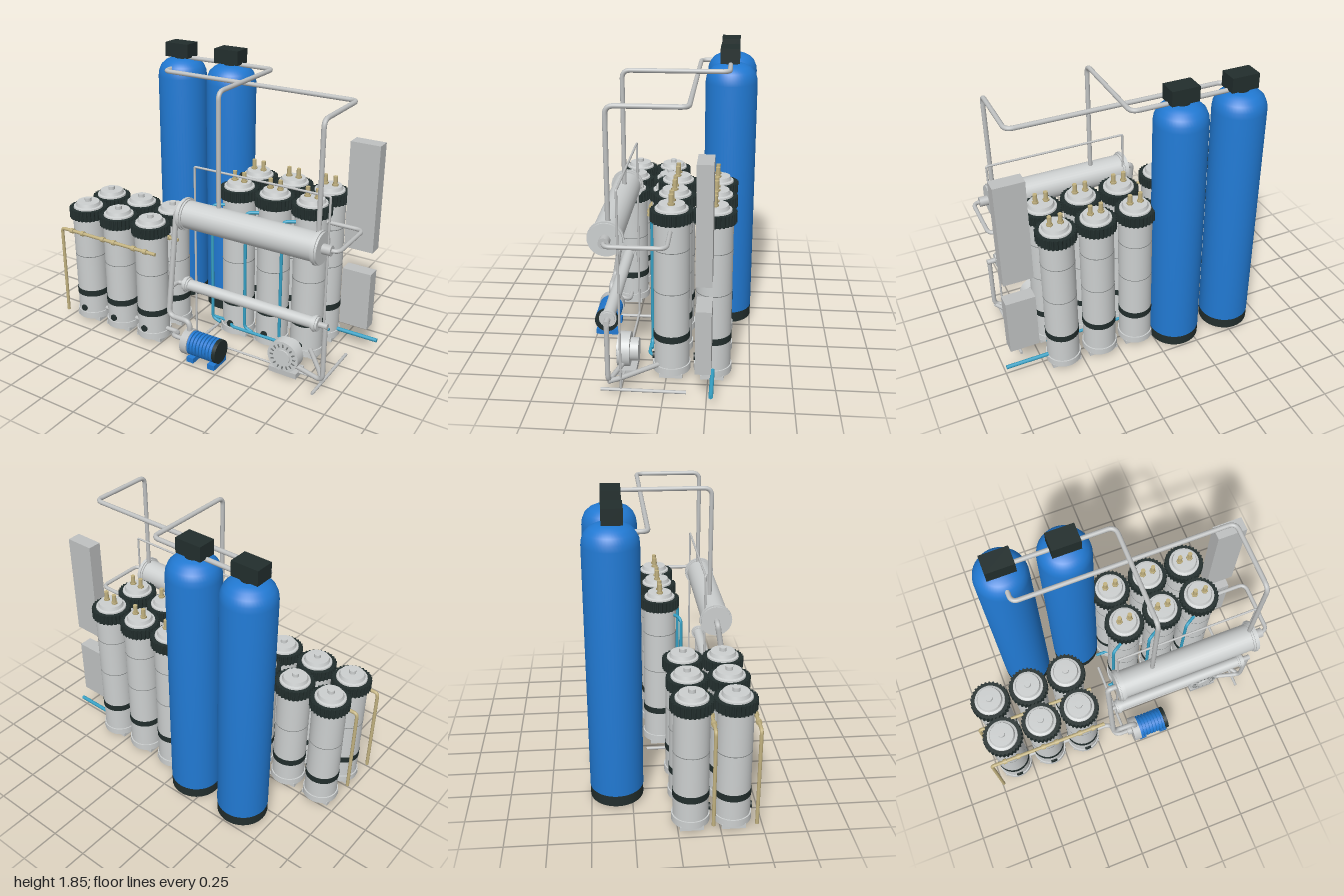
import * as THREE from 'three';
import { mergeGeometries, toCreasedNormals } from 'three/addons/utils/BufferGeometryUtils.js';

const mat = (name, color) => new THREE.MeshStandardMaterial({ name, color });
const V = (p) => new THREE.Vector3(...p);

export function createModel() {
  const M = {
    blue: mat('tank blue', 0x2179d2),
    dark: mat('dark plastic', 0x222e2d),
    shell: mat('vessel light grey', 0xcccfcf),
    steel: mat('steel grey', 0xbfc1c1),
    seam: mat('seam grey', 0x7c8080),
    tan: mat('tan pipe', 0xc2b280),
    teal: mat('teal pipe', 0x35a0c4),
  };
  const root = new THREE.Group();
  root.name = 'filtrationPlant';

  const add = (parent, name, geo, material, x = 0, y = 0, z = 0) => {
    const m = new THREE.Mesh(geo, material);
    m.name = name;
    m.position.set(x, y, z);
    parent.add(m);
    return m;
  };
  const group = (name, x = 0, y = 0, z = 0) => {
    const g = new THREE.Group();
    g.name = name;
    g.position.set(x, y, z);
    root.add(g);
    return g;
  };
  // Cylinder from y0 to y1
  const cyl = (parent, name, r, y0, y1, material, x = 0, z = 0, seg = 32) =>
    add(parent, name, new THREE.CylinderGeometry(r, r, y1 - y0, seg), material, x, (y0 + y1) / 2, z);
  const box = (parent, name, x0, x1, y0, y1, z0, z1, material) =>
    add(parent, name, new THREE.BoxGeometry(x1 - x0, y1 - y0, z1 - z0), material,
      (x0 + x1) / 2, (y0 + y1) / 2, (z0 + z1) / 2);
  const lathe = (pts, seg = 40) =>
    toCreasedNormals(new THREE.LatheGeometry(pts.map((p) => new THREE.Vector2(...p)), seg), 0.6);
  // Cylinder lying along x
  const cylX = (parent, name, r, x0, x1, y, z, material) => {
    const m = add(parent, name, new THREE.CylinderGeometry(r, r, x1 - x0, 32), material, (x0 + x1) / 2, y, z);
    m.rotation.z = -Math.PI / 2;
    return m;
  };
  // Round pipe through corner points, with rounded bends and closed ends
  const pipe = (name, material, r, points, bend = 0.05) => {
    const p = points.map(V), n = p.length - 1, parts = [];
    let from = p[0];
    for (let i = 1; i <= n; i++) {
      let to = p[i], next = p[i];
      if (i < n) {
        const b = Math.min(bend, p[i].distanceTo(p[i - 1]) * 0.45, p[i].distanceTo(p[i + 1]) * 0.45);
        to = p[i].clone().lerp(p[i - 1], b / p[i].distanceTo(p[i - 1]));
        next = p[i].clone().lerp(p[i + 1], b / p[i].distanceTo(p[i + 1]));
        parts.push(new THREE.TubeGeometry(new THREE.QuadraticBezierCurve3(to, p[i], next), 8, r, 12));
      }
      parts.push(new THREE.TubeGeometry(new THREE.LineCurve3(from, to), 1, r, 12));
      from = next;
    }
    for (const [end, inner] of [[p[0], p[1]], [p[n], p[n - 1]]]) {
      const q = new THREE.Quaternion().setFromUnitVectors(
        new THREE.Vector3(0, 0, 1), end.clone().sub(inner).normalize());
      parts.push(new THREE.CircleGeometry(r, 12).applyQuaternion(q).translate(end.x, end.y, end.z));
    }
    return add(root, name, mergeGeometries(parts), material);
  };

  // Tall pressure tanks
  const tankGeo = lathe([[0, 0.09], [0.163, 0.09], [0.163, 1.63], [0.158, 1.665], [0.143, 1.70],
    [0.115, 1.727], [0.08, 1.743], [0, 1.75]], 48);
  for (const x of [-0.535, -0.152]) {
    const g = group('pressureTank', x, 0, -0.342);
    add(g, 'tankShell', tankGeo, M.blue);
    cyl(g, 'tankBase', 0.162, 0.02, 0.1, M.dark, 0, 0, 48);
    cyl(g, 'tankNeck', 0.05, 1.73, 1.77, M.dark);
    box(g, 'valveHead', -0.088, 0.088, 1.757, 1.85, -0.05, 0.07, M.dark);
  }

  // Knurled collar shared by all vessels
  const collarShape = new THREE.Shape();
  const teeth = 30;
  for (let i = 0; i < teeth * 4; i++) {
    const a = (i / (teeth * 4)) * Math.PI * 2, r = i % 4 < 2 ? 0.126 : 0.118;
    collarShape[i ? 'lineTo' : 'moveTo'](r * Math.cos(a), r * Math.sin(a));
  }
  const collarGeo = new THREE.ExtrudeGeometry(collarShape, { depth: 0.066, bevelEnabled: false })
    .rotateX(-Math.PI / 2);

  const vessel = (name, x, z, collarY, bandY, seams, pins) => {
    const g = group(name, x, 0, z);
    cyl(g, 'body', 0.106, 0.07, collarY + 0.01, M.shell);
    cyl(g, 'baseRing', 0.114, 0.035, 0.08, M.shell);
    for (const s of [-1, 1]) {
      box(g, 'foot', s * 0.075 - 0.022, s * 0.075 + 0.022, 0.012, 0.04, -0.07, 0.07, M.shell);
    }
    cyl(g, 'band', 0.109, bandY, bandY + 0.042, M.dark);
    for (const y of seams) cyl(g, 'seam', 0.1067, y, y + 0.004, M.seam);
    add(g, 'collar', collarGeo, M.dark, 0, collarY, 0);
    const t = collarY + 0.064;
    add(g, 'lid', lathe([[0.098, t], [0.096, t + 0.012], [0.082, t + 0.016], [0.075, t + 0.038], [0, t + 0.04]], 32), M.shell);
    const port = cyl(g, 'drainPort', 0.022, -0.01, 0.01, M.dark, 0, 0.106, 16);
    port.position.y = 0.11;
    port.rotation.x = Math.PI / 2;
    if (pins) {
      for (const s of [-1, 1]) {
        cyl(g, 'lidNut', 0.021, t + 0.035, t + 0.05, M.tan, s * 0.034, 0, 6);
        cyl(g, 'lidPin', 0.014, t + 0.04, t + 0.102, M.tan, s * 0.034, 0, 12);
      }
    } else cyl(g, 'lidKnob', 0.022, t + 0.035, t + 0.062, M.shell, 0, 0, 16);
  };
  for (const z of [0.08, 0.326]) {
    for (const x of [-0.857, -0.6, -0.343]) vessel('shortVessel', x, z, 0.768, 0.204, [0.5], false);
  }
  for (const z of [-0.275, -0.028]) {
    for (const x of [0.103, 0.36, 0.615]) vessel('tallVessel', x, z, 0.99, 0.248, [0.56, 0.82], true);
  }

  // Horizontal membrane housings
  const housing = (name, y, r, flange) => {
    const g = group(name);
    cylX(g, 'tube', r, -0.07, 0.84, y, 0.318, M.shell);
    for (const x of [-0.09, 0.815]) {
      cylX(g, 'flange', flange, x + 0.012, x + 0.028, y, 0.318, M.shell);
      cylX(g, 'flangeCollar', (r + flange) / 2, x, x + 0.04, y, 0.318, M.shell);
    }
    cylX(g, 'endNut', flange * 0.25 + 0.005, 0.85, 0.91, y, 0.318, M.steel);
  };
  housing('largeHousing', 0.955, 0.088, 0.104);
  housing('smallHousing', 0.465, 0.036, 0.05);

  // Thin support frame
  const frameX = [-0.05, 0.855];
  for (const x of frameX) {
    pipe('frameFoot', M.steel, 0.01, [[x, 0.011, -0.13], [x, 0.011, 0.37]]);
  }
  pipe('frameHoop', M.steel, 0.007, [[-0.05, 0.01, 0.25], [-0.05, 1.245, 0.25], [0.855, 1.245, 0.25], [0.855, 0.01, 0.25]], 0.01);
  pipe('frameLowerBar', M.steel, 0.007, [[-0.05, 0.04, 0.25], [0.855, 0.04, 0.25]]);

  // Control cabinets
  box(root, 'upperCabinet', 0.77, 0.96, 0.74, 1.43, -0.275, -0.185, M.steel);
  box(root, 'lowerCabinet', 0.77, 0.96, 0.2, 0.59, -0.275, -0.185, M.steel);

  // Blue ribbed pump
  const pump = group('ribbedPump', 0, 0.128, 0.428);
  const ribs = [[0, 0.04]];
  for (let i = 0; i < 8; i++) {
    const y = 0.04 + i * 0.024;
    ribs.push([0.078, y], [0.078, y + 0.015], [0.066, y + 0.016], [0.066, y + 0.023]);
  }
  add(pump, 'motor', lathe(ribs, 32), M.blue).rotation.z = -Math.PI / 2;
  cylX(pump, 'motorEnd', 0.077, 0.225, 0.25, 0, 0, M.dark);
  cylX(pump, 'pumpHead', 0.085, -0.01, 0.04, 0, 0, M.steel);
  cylX(pump, 'pumpInlet', 0.03, -0.04, 0, 0, 0, M.steel);
  for (const x of [0.035, 0.19]) box(pump, 'pumpFoot', x, x + 0.05, -0.105, -0.07, -0.075, 0.07, M.blue);

  // Round vented blower
  const blower = group('blower', 0.612, 0.143, 0.24);
  const faceCyl = (name, r, z0, z1, material, x = 0, y = 0, seg = 32) => {
    const m = cyl(blower, name, r, 0, z1 - z0, material, x, 0, seg);
    m.position.set(x, y, (z0 + z1) / 2);
    m.rotation.x = Math.PI / 2;
  };
  faceCyl('blowerBody', 0.105, -0.02, 0.055, M.shell);
  faceCyl('blowerMotor', 0.07, -0.07, -0.02, M.shell);
  faceCyl('blowerHub', 0.05, 0.055, 0.065, M.shell);
  for (let i = 0; i < 16; i++) {
    const a = (i / 16) * Math.PI * 2;
    const slot = add(blower, 'vent', new THREE.BoxGeometry(0.022, 0.009, 0.004), M.seam,
      0.077 * Math.cos(a), 0.077 * Math.sin(a), 0.056);
    slot.rotation.z = a;
  }
  box(blower, 'blowerFoot', -0.095, 0.095, -0.13, -0.095, -0.06, 0.055, M.steel);

  // Overhead pipes from the tanks
  pipe('overheadPipe', M.steel, 0.0145, [[-0.5, 1.752, -0.335], [0.157, 1.752, -0.335], [0.157, 1.752, 0.305], [0.157, 1.02, 0.305]]);
  pipe('overheadPipe', M.steel, 0.0145, [[-0.535, 1.695, -0.23], [-0.535, 1.695, -0.135], [0.818, 1.695, -0.135],
    [0.818, 1.695, 0.305], [0.818, 1.02, 0.305]]);

  // Process pipes around the pumps and housings
  pipe('feedPipe', M.steel, 0.018, [[-0.08, 0.955, 0.32], [-0.145, 0.955, 0.32], [-0.145, 0.27, 0.425],
    [0.015, 0.27, 0.428], [0.015, 0.18, 0.428]]);
  pipe('housingInlet', M.steel, 0.014, [[-0.14, 0.465, 0.39], [-0.14, 0.465, 0.32], [-0.07, 0.465, 0.318]]);
  pipe('suctionPipe', M.steel, 0.015, [[-0.86, 0.09, 0.326], [-0.13, 0.09, 0.326], [-0.13, 0.128, 0.428], [0, 0.128, 0.428]]);
  pipe('drainPipe', M.steel, 0.015, [[0.84, 0.465, 0.318], [0.895, 0.465, 0.318], [0.895, 0.085, 0.318], [0.69, 0.085, 0.26]]);
  pipe('returnPipe', M.steel, 0.015, [[0.66, 0.085, 0.02], [0.84, 0.085, 0.24], [0.89, 0.085, 0.318]]);
  pipe('permeatePipe', M.steel, 0.013, [[0.85, 0.955, 0.318], [0.95, 0.955, 0.318], [0.95, 0.955, -0.028], [0.7, 0.955, -0.028]]);

  // Tan manifolds beside the short vessels
  for (const z of [0.2, 0.452]) {
    pipe('tanManifold', M.tan, 0.011, [[-0.988, 0.07, z], [-0.988, 0.69, z], [-0.22, 0.69, z]], 0.025);
    for (const x of [-0.9, -0.81, -0.64, -0.55, -0.39, -0.3]) cylX(root, 'manifoldFitting', 0.017, x - 0.012, x + 0.012, 0.69, z, M.tan);
  }

  // Teal lines around the tall vessels
  pipe('tealManifold', M.teal, 0.01, [[-0.04, 0.11, 0.055], [0.1, 0.11, 0.055], [0.13, 0.11, 0.108], [0.6, 0.11, 0.108], [0.63, 0.11, 0.06]]);
  pipe('tealManifold', M.teal, 0.01, [[-0.04, 0.11, -0.195], [0.7, 0.11, -0.195]]);
  for (const x of [-0.02, 0.225, 0.482]) {
    pipe('tealRiser', M.teal, 0.01, [[x + 0.06, 0.11, 0.1], [x, 0.13, 0.1], [x, 0.95, 0.1], [x + 0.07, 0.95, 0.06]], 0.04);
  }
  pipe('tealOutlet', M.teal, 0.013, [[0.7, 0.083, -0.278], [1, 0.083, -0.278]]);

  return root;
}
